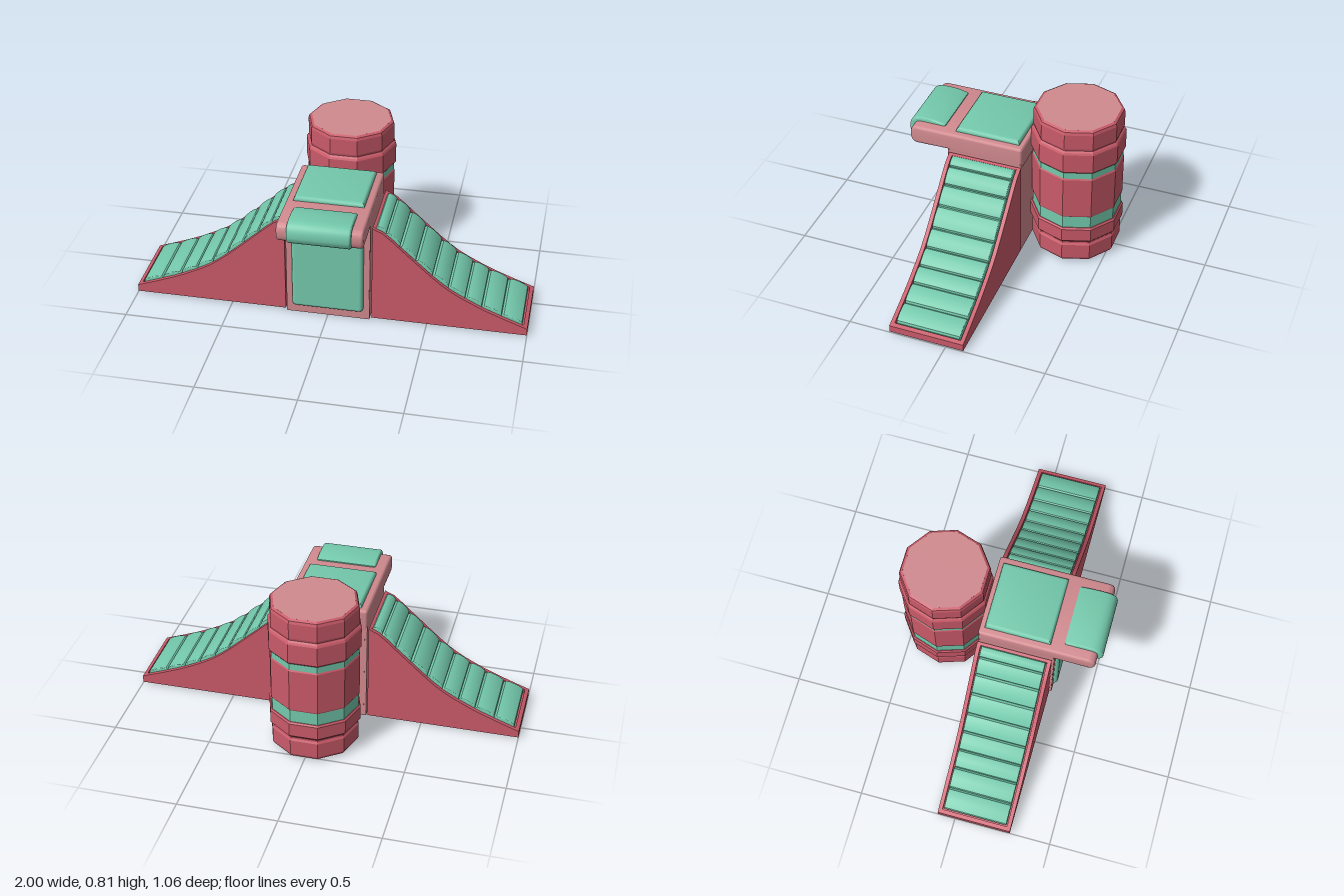
import * as THREE from 'three';
import { toCreasedNormals } from 'three/addons/utils/BufferGeometryUtils.js';
import { RoundedBoxGeometry } from 'three/addons/geometries/RoundedBoxGeometry.js';

const mat = (color, flatShading = false) => new THREE.MeshStandardMaterial({ color, flatShading });
const red = mat(0xc95a69), pink = mat(0xd18a8f), green = mat(0x74c9ac);
const redFlat = mat(0xc95a69, true), greenFlat = mat(0x74c9ac, true);

function add(parent, name, geometry, material, x = 0, y = 0, z = 0) {
  const mesh = new THREE.Mesh(geometry, material);
  mesh.name = name;
  mesh.position.set(x, y, z);
  parent.add(mesh);
  return mesh;
}

const toShape = (pts) => new THREE.Shape(pts.map(([x, y]) => new THREE.Vector2(x, y)));

// Extrusion centred on its depth; total depth includes the bevel, which eats inwards
function slab(shape, depth, bevel = 0) {
  const g = new THREE.ExtrudeGeometry(shape, {
    depth: depth - 2 * bevel, bevelEnabled: bevel > 0, bevelThickness: bevel,
    bevelSize: bevel, bevelOffset: -bevel, bevelSegments: 3, curveSegments: 8,
  });
  g.translate(0, 0, -(depth - 2 * bevel) / 2);
  return toCreasedNormals(g, 0.6);
}

// Top line of a ramp, from the pillar outwards
const slope = new THREE.SplineCurve([
  [0.22, 0.53], [0.28, 0.5], [0.39, 0.4], [0.58, 0.235], [0.74, 0.145], [0.87, 0.09], [1, 0.042],
].map(([x, y]) => new THREE.Vector2(x, y)));

function slopeAt(x) {
  let lo = 0, hi = 1;
  for (let i = 0; i < 24; i++) {
    const mid = (lo + hi) / 2;
    if (slope.getPoint(mid).x < x) lo = mid; else hi = mid;
  }
  return slope.getPoint(lo).y;
}

function rampSlice(x0, x1, drop, depth) {
  const pts = [[x0, 0.005], [x1, 0.005]];
  for (let i = 0; i <= 16; i++) {
    const x = x1 + (x0 - x1) * i / 16;
    pts.push([x, slopeAt(x) - drop]);
  }
  return slab(toShape(pts), depth);
}

function makeRamp() {
  const ramp = new THREE.Group();
  add(ramp, 'rampBody', rampSlice(0.235, 0.98, 0.025, 0.34), red);
  for (const s of [-1, 1]) add(ramp, 'rampRail', rampSlice(0.22, 1, 0, 0.02), red, 0, 0, s * 0.18);
  add(ramp, 'rampTopLip', rampSlice(0.22, 0.235, 0, 0.34), red);
  add(ramp, 'rampEndLip', rampSlice(0.98, 1, 0, 0.34), red);
  // Padded slats, each bulging between two stops along the slope
  const stops = [0.234, 0.285, 0.355, 0.435, 0.52, 0.6, 0.685, 0.77, 0.87, 0.975];
  for (let i = 0; i < stops.length - 1; i++) {
    const a = new THREE.Vector2(stops[i], slopeAt(stops[i]));
    const b = new THREE.Vector2(stops[i + 1], slopeAt(stops[i + 1]));
    const n = new THREE.Vector2(a.y - b.y, b.x - a.x).normalize();
    const at = (t, h) => {
      const p = a.clone().lerp(b, t).addScaledVector(n, h);
      return [p.x, p.y];
    };
    const pts = [at(0, -0.035), at(1, -0.035), at(1, -0.004), at(0.93, 0.007), at(0.75, 0.012),
      at(0.5, 0.014), at(0.25, 0.012), at(0.07, 0.006), at(0, -0.004)];
    add(ramp, 'rampSlat', slab(toShape(pts), 0.328, 0.004), green);
  }
  return ramp;
}

export function createModel() {
  const model = new THREE.Group();

  // Two ramps, one turned to the other side
  for (const [name, turn] of [['leftRamp', 0], ['rightRamp', Math.PI]]) {
    const ramp = makeRamp();
    ramp.name = name;
    ramp.rotation.y = turn;
    ramp.position.z = 0.1;
    model.add(ramp);
  }

  // Hollow pillar, open at the bottom
  const pillar = new THREE.Group();
  pillar.name = 'pillar';
  model.add(pillar);
  for (const s of [-1, 1]) {
    add(pillar, 'pillarSide', new THREE.BoxGeometry(0.02, 0.54, 0.385), pink, s * 0.202, 0.27, 0.105);
  }
  add(pillar, 'pillarBack', new THREE.BoxGeometry(0.4, 0.54, 0.02), pink, 0, 0.27, -0.078);
  const front = toShape([[-0.21, 0], [0.21, 0], [0.21, 0.54], [-0.21, 0.54]]);
  front.holes.push(new THREE.Path([[-0.175, 0.05], [-0.175, 0.485], [0.175, 0.485], [0.175, 0.05]]
    .map(([x, y]) => new THREE.Vector2(x, y))));
  add(pillar, 'pillarFrontFrame', slab(front, 0.02), pink, 0, 0, 0.291);
  add(pillar, 'frontPanel', new RoundedBoxGeometry(0.362, 0.445, 0.045, 3, 0.02), green, 0, 0.267, 0.299);

  // Cap block with an arm reaching forward, rounded at its end
  const side = new THREE.Shape();
  side.moveTo(-0.09, 0.522);
  side.lineTo(0.302, 0.522);
  side.lineTo(0.302, 0.537);
  side.lineTo(0.47, 0.533);
  side.quadraticCurveTo(0.504, 0.535, 0.504, 0.585);
  side.quadraticCurveTo(0.504, 0.632, 0.465, 0.632);
  side.lineTo(-0.075, 0.632);
  side.quadraticCurveTo(-0.09, 0.632, -0.09, 0.617);
  side.closePath();
  add(model, 'capWithArm', slab(side, 0.424, 0.014).rotateY(-Math.PI / 2), pink);

  // Pad on top of the cap: a shallow block with sloping sides
  const padPlan = toShape([[-0.176, -0.27], [0.176, -0.27], [0.176, 0.065], [-0.176, 0.065]]);
  const pad = slab(padPlan, 0.046, 0.02).rotateX(-Math.PI / 2);
  add(model, 'topPad', pad, green, 0, 0.631, 0);

  // Pad wrapping over the end of the arm, falling away a little towards its sides
  const wrap = new THREE.Shape();
  wrap.moveTo(0.335, 0.615);
  wrap.lineTo(0.45, 0.6);
  wrap.lineTo(0.48, 0.536);
  wrap.lineTo(0.495, 0.534);
  wrap.quadraticCurveTo(0.53, 0.55, 0.53, 0.585);
  wrap.quadraticCurveTo(0.53, 0.645, 0.475, 0.652);
  wrap.quadraticCurveTo(0.39, 0.657, 0.335, 0.638);
  wrap.closePath();
  add(model, 'armPad', slab(wrap, 0.312, 0.01).rotateY(-Math.PI / 2), green);

  // Ten-sided barrel behind the pillar; profiles give face distance and height
  const barrel = new THREE.Group();
  barrel.name = 'barrel';
  barrel.position.z = -0.311;
  model.add(barrel);
  const ring = (name, profile, material) => add(barrel, name, new THREE.LatheGeometry(
    profile.map(([r, y]) => new THREE.Vector2(r / Math.cos(Math.PI / 10), y)), 10, Math.PI / 2), material);
  ring('barrelBase', [[0, 0.008], [0.195, 0.008], [0.208, 0.014], [0.214, 0.028], [0.214, 0.108],
    [0.208, 0.118], [0.208, 0.128], [0.216, 0.138], [0.223, 0.145], [0.223, 0.215], [0.216, 0.224], [0.2, 0.225]], redFlat);
  ring('lowerBand', [[0.2, 0.22], [0.213, 0.222], [0.213, 0.293], [0.2, 0.295]], greenFlat);
  ring('barrelMiddle', [[0.2, 0.29], [0.213, 0.291], [0.217, 0.298], [0.217, 0.522], [0.213, 0.529], [0.2, 0.53]], redFlat);
  ring('upperBand', [[0.2, 0.525], [0.213, 0.527], [0.213, 0.57], [0.2, 0.572]], greenFlat);
  ring('barrelTop', [[0.2, 0.567], [0.218, 0.568], [0.223, 0.575], [0.223, 0.678], [0.218, 0.688],
    [0.21, 0.696], [0.213, 0.708], [0.213, 0.788], [0.208, 0.802], [0.196, 0.809]], redFlat);
  const lid = new THREE.CylinderGeometry(0.206, 0.206, 0.02, 10, 1, false, Math.PI / 2);
  add(barrel, 'barrelLid', lid, pink, 0, 0.799, 0);

  return model;
}
